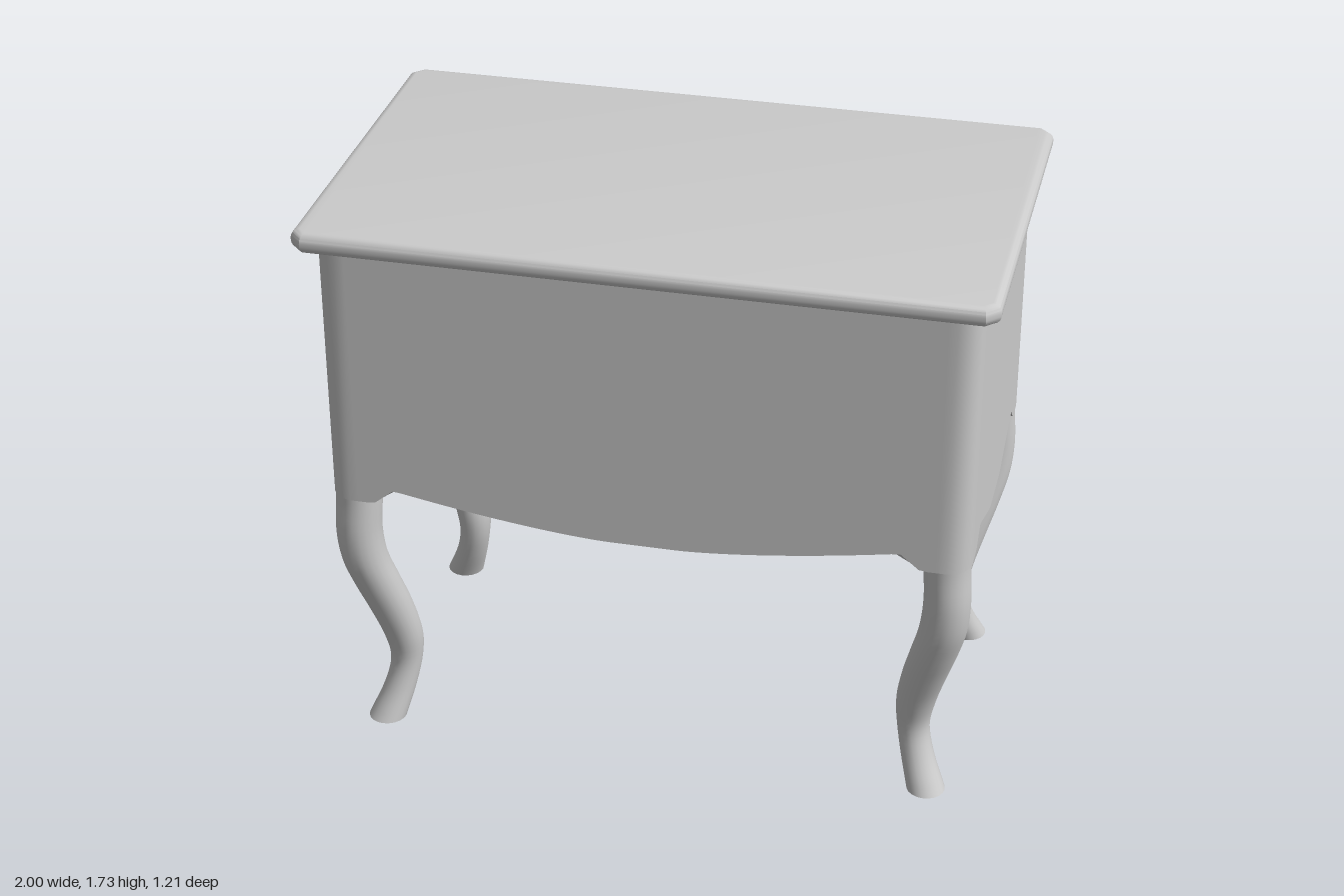
import * as THREE from 'three';
import { toCreasedNormals } from 'three/addons/utils/BufferGeometryUtils.js';
import { RoundedBoxGeometry } from 'three/addons/geometries/RoundedBoxGeometry.js';

const HALF_X = 0.95, HALF_Z = 0.5325, CORNER = 0.07, BODY_Z = 0.0125;
const material = new THREE.MeshStandardMaterial({ color: 0xcccccc });
const clamp01 = (v) => THREE.MathUtils.clamp(v, 0, 1);

function addMesh(parent, name, geometry, x = 0, y = 0, z = 0) {
  const mesh = new THREE.Mesh(geometry, material);
  mesh.name = name;
  mesh.position.set(x, y, z);
  parent.add(mesh);
  return mesh;
}

// Skin over closed rings of equal length, counter-clockwise from above, bottom to top
function loft(rings, crease) {
  const n = rings[0].length, index = [];
  for (let i = 0; i < rings.length - 1; i++) {
    for (let j = 0; j < n; j++) {
      const k = (j + 1) % n;
      const a = i * n + j, b = i * n + k, c = a + n, d = b + n;
      index.push(a, b, d, a, d, c);
    }
  }
  const geometry = new THREE.BufferGeometry().setFromPoints(rings.flat());
  geometry.setIndex(index);
  return toCreasedNormals(geometry, crease);
}

// Height of the scalloped underside: low in the middle, arched beside the legs
function undersideY(x, z) {
  const ax = Math.abs(x), az = Math.abs(z);
  const u = Math.pow(clamp01((ax - 0.1) / 0.65), 1.5);
  const v = clamp01((az - 0.1) / 0.22);
  const dip = clamp01((ax - 0.75) / 0.06) * clamp01((az - 0.33) / 0.06);
  return 0.802 + 0.083 * u * v - 0.05 * dip;
}

// Case with rounded corners and a curved lower edge
function bodyGeometry() {
  const cx = HALF_X - CORNER, cz = HALF_Z - CORNER, q = Math.PI / 2;
  const plan = new THREE.Shape();
  plan.absarc(cx, cz, CORNER, 0, q);
  plan.absarc(-cx, cz, CORNER, q, 2 * q);
  plan.absarc(-cx, -cz, CORNER, 2 * q, 3 * q);
  plan.absarc(cx, -cz, CORNER, 3 * q, 4 * q);
  plan.closePath();
  const outline = plan.getSpacedPoints(220).slice(0, -1);
  const rings = [];
  for (let i = 0; i <= 16; i++) {
    const s = Math.max(i / 16, 0.001);
    rings.push(outline.map((p) => new THREE.Vector3(p.x * s, undersideY(p.x * s, p.y * s), -p.y * s)));
  }
  rings.push(outline.map((p) => new THREE.Vector3(p.x, 1.68, -p.y)));
  return loft(rings, 0.7);
}

// Curved leg; each station holds centre distance, height and radius
function legGeometry(sx, sz) {
  const stations = new THREE.CatmullRomCurve3([
    [0.843, 0, 0.058], [0.808, 0.1, 0.05], [0.79, 0.19, 0.049], [0.795, 0.28, 0.059],
    [0.822, 0.4, 0.067], [0.85, 0.5, 0.07], [0.875, 0.6, 0.07], [0.884, 0.7, 0.069],
    [0.879, 0.82, 0.069], [0.879, 0.95, 0.069],
  ].map((p) => new THREE.Vector3(...p))).getPoints(36);
  stations[0].y = 0;
  stations.unshift(new THREE.Vector3(stations[0].x, 0, 0.0005));
  const rings = stations.map(({ x: c, y, z: r }) => {
    const ring = [];
    for (let j = 0; j < 20; j++) {
      const t = (j / 20) * Math.PI * 2;
      ring.push(new THREE.Vector3(sx * c + r * Math.cos(t), y, sz * (c - 0.4165) - r * Math.sin(t)));
    }
    return ring;
  });
  return loft(rings, 0.8);
}

// Table top with clipped corners and rounded rim
function topGeometry() {
  const hx = 0.975, hz = 0.57, c = 0.022, bevel = 0.025;
  const plan = new THREE.Shape([
    [hx, -hz + c], [hx, hz - c], [hx - c, hz], [-hx + c, hz],
    [-hx, hz - c], [-hx, -hz + c], [-hx + c, -hz], [hx - c, -hz],
  ].map((p) => new THREE.Vector2(...p)));
  const geometry = new THREE.ExtrudeGeometry(plan, {
    depth: 0.01, bevelSize: bevel, bevelThickness: bevel, bevelSegments: 5,
  });
  geometry.rotateX(-Math.PI / 2);
  geometry.translate(0, bevel, 0);
  return toCreasedNormals(geometry, 0.6);
}

// Bow-shaped pull, its ends sunk into the drawer front
function handleGeometry() {
  const path = new THREE.CatmullRomCurve3([
    [-0.08, -0.55], [-0.081, -0.575], [-0.065, -0.588], [0, -0.598],
    [0.065, -0.588], [0.081, -0.575], [0.08, -0.55],
  ].map(([x, z]) => new THREE.Vector3(x, 0, z)));
  return new THREE.TubeGeometry(path, 40, 0.0075, 10);
}

export function createModel() {
  const model = new THREE.Group();
  model.name = 'chestOfDrawers';

  addMesh(model, 'body', bodyGeometry(), 0, 0, BODY_Z);
  addMesh(model, 'top', topGeometry(), 0, 1.665, 0.01);

  // Legs
  for (const sx of [-1, 1]) {
    for (const sz of [-1, 1]) {
      const name = (sz > 0 ? 'front' : 'back') + (sx > 0 ? 'Left' : 'Right') + 'Leg';
      addMesh(model, name, legGeometry(sx, sz), 0, 0, BODY_Z);
    }
  }

  // Drawers on the back face
  [['lower', 1.143], ['upper', 1.482]].forEach(([level, y]) => {
    const drawer = new THREE.Group();
    drawer.name = level + 'Drawer';
    drawer.position.y = y;
    addMesh(drawer, level + 'DrawerFront', new RoundedBoxGeometry(1.72, 0.255, 0.08, 4, 0.02), 0, 0, -0.52);
    addMesh(drawer, level + 'DrawerHandle', handleGeometry());
    model.add(drawer);
  });

  return model;
}
